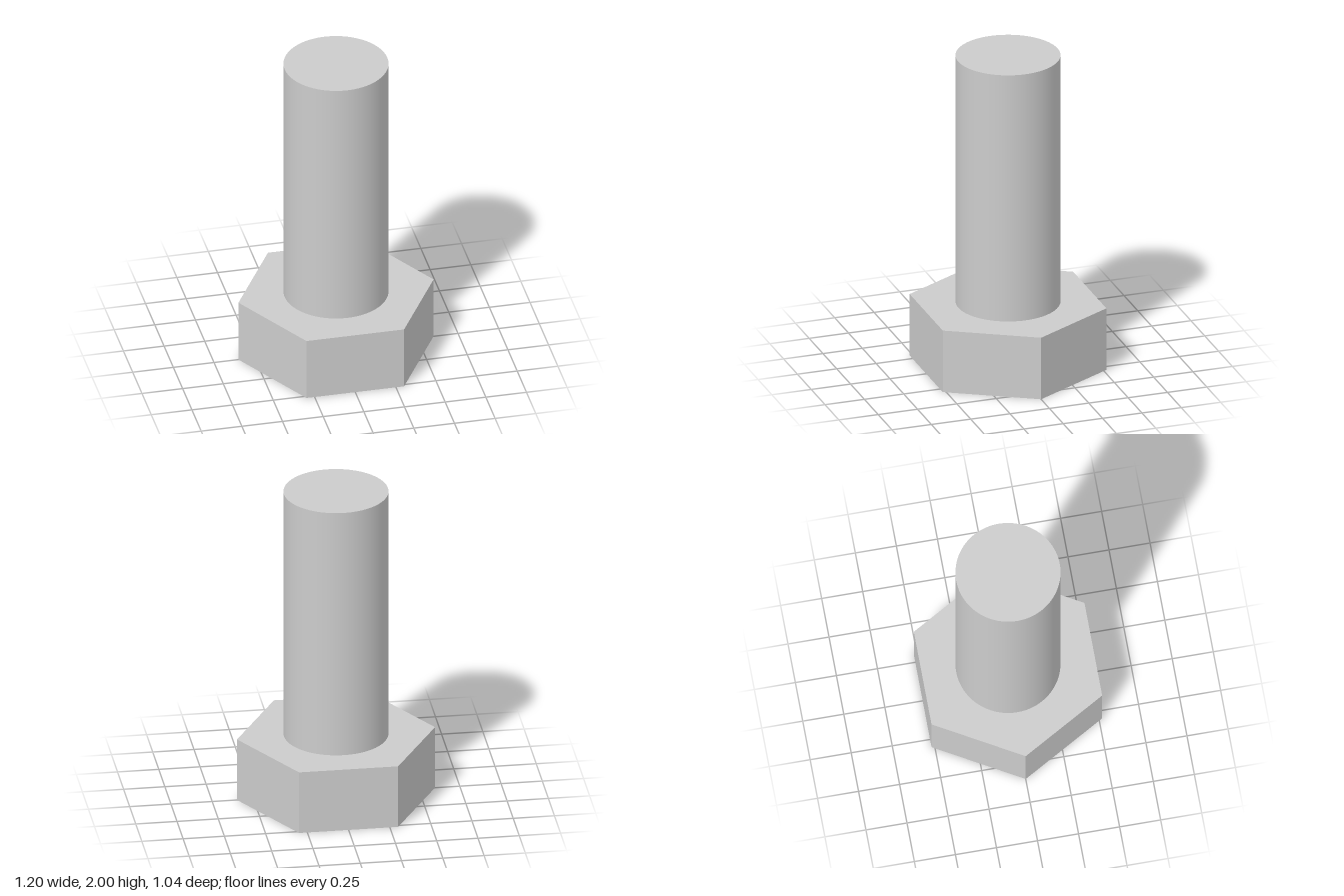
import * as THREE from 'three';

const HEAD_RADIUS = 0.6, HEAD_HEIGHT = 0.4;
const SHANK_RADIUS = 0.315, TOTAL_HEIGHT = 2;

export function createModel() {
  const group = new THREE.Group();
  group.name = 'hexBolt';

  // Upright cylinder or prism standing on height y, with a corner on the x axis
  const addCylinder = (name, radius, height, y, sides, flatShading) => {
    const geometry = new THREE.CylinderGeometry(radius, radius, height, sides, 1, false, Math.PI / 2);
    const material = new THREE.MeshStandardMaterial({ color: 0xcccccc, flatShading });
    const mesh = new THREE.Mesh(geometry, material);
    mesh.name = name;
    mesh.position.y = y + height / 2;
    group.add(mesh);
  };

  // Six-sided head resting on the ground
  addCylinder('head', HEAD_RADIUS, HEAD_HEIGHT, 0, 6, true);
  // Smooth round shank rising from the head
  addCylinder('shank', SHANK_RADIUS, TOTAL_HEIGHT - HEAD_HEIGHT, HEAD_HEIGHT, 96, false);

  return group;
}
